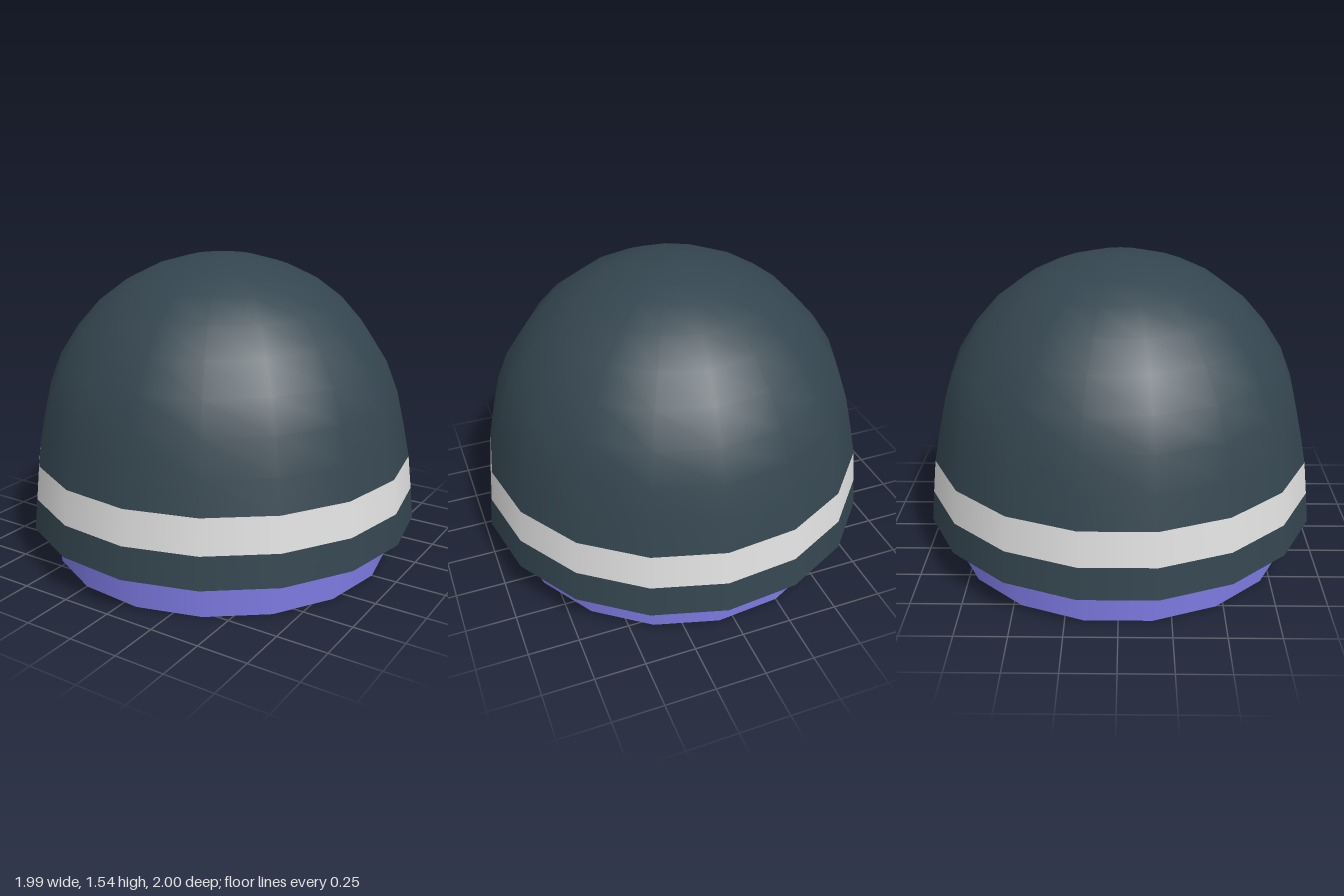
import * as THREE from 'three';

const SIDES = 17;

function material(name, color) {
  const m = new THREE.MeshStandardMaterial({ color });
  m.name = name;
  return m;
}

export function createModel() {
  const slate = material('slate', 0x34454f);
  const paleGrey = material('paleGrey', 0xe0e0e0);
  const violet = material('violet', 0x7c79e0);

  const model = new THREE.Group();
  model.name = 'domedCap';

  // Turn a profile of [radius, height] pairs, with one corner pointing to +x
  function turned(name, profile, mat) {
    const points = profile.map(([r, y]) => new THREE.Vector2(r, y));
    const mesh = new THREE.Mesh(new THREE.LatheGeometry(points, SIDES, Math.PI / 2), mat);
    mesh.name = name;
    model.add(mesh);
  }

  // Flat underside and flared rim
  turned('underside', [[0, 0.197], [1.004, 0.197]], slate);
  turned('rim', [[1.004, 0.197], [0.987, 0.355]], slate);

  // Pale band around the cap
  turned('stripe', [[0.987, 0.355], [0.967, 0.527]], paleGrey);

  // Rounded dome
  turned('dome', [
    [0.967, 0.527], [0.934, 0.69], [0.893, 0.865], [0.832, 1.021], [0.735, 1.17],
    [0.622, 1.298], [0.487, 1.4], [0.335, 1.474], [0.168, 1.521], [0, 1.536],
  ], slate);

  // Base drum, its top hidden inside the cap
  const base = new THREE.Mesh(
    new THREE.CylinderGeometry(0.88, 0.88, 0.25, SIDES, 1, false, Math.PI / 2), violet);
  base.name = 'base';
  base.position.y = 0.125;
  model.add(base);

  // Centre the odd-sided outline on x
  model.position.x = -0.0085;
  const root = new THREE.Group();
  root.name = 'model';
  root.add(model);
  return root;
}
